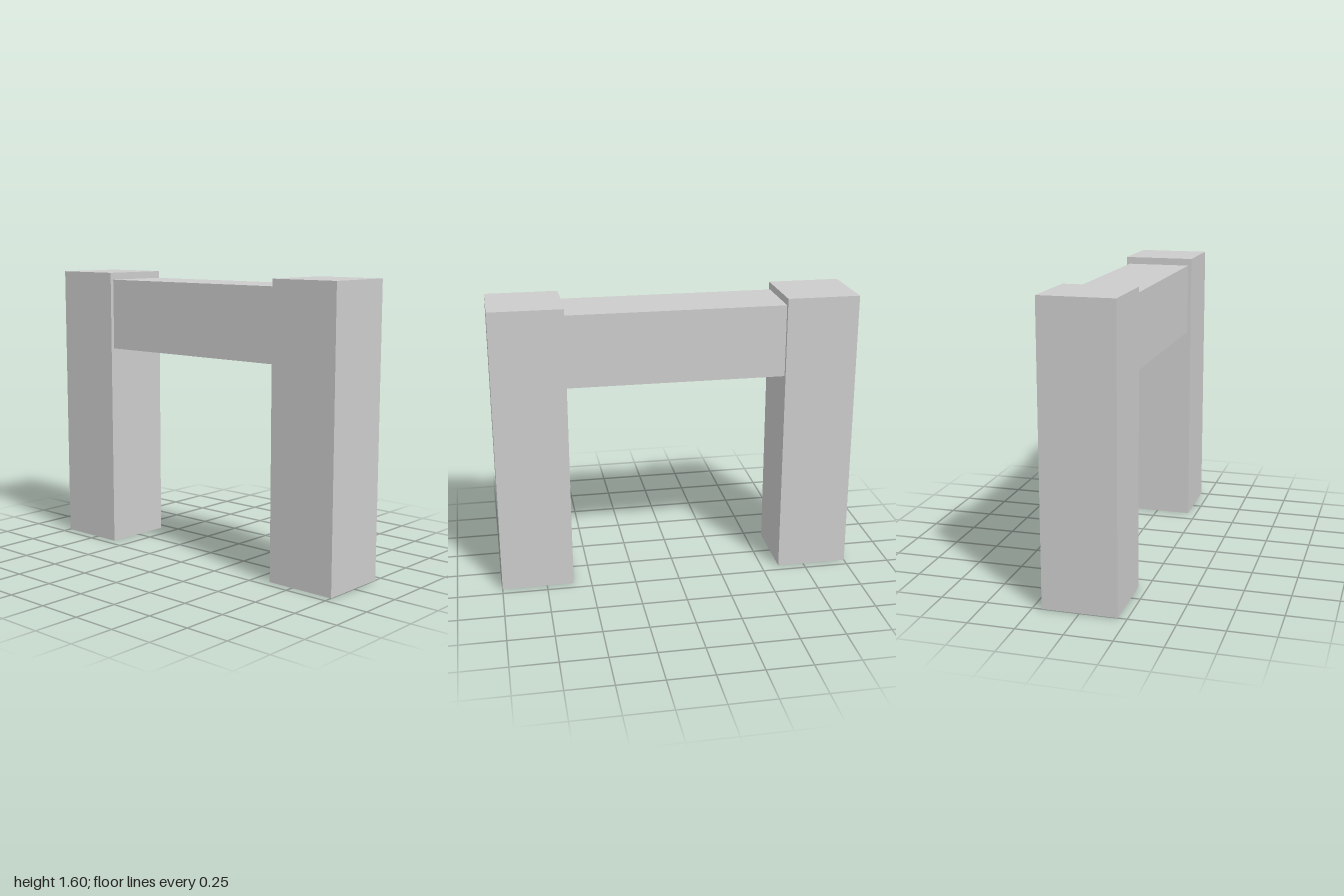
import * as THREE from 'three';

export function createModel() {
  const model = new THREE.Group();
  model.name = 'gateway';
  const material = new THREE.MeshStandardMaterial({ color: 0xcccccc, flatShading: true });

  const addBox = (name, [w, h, d], [x, y, z]) => {
    const mesh = new THREE.Mesh(new THREE.BoxGeometry(w, h, d), material);
    mesh.name = name;
    mesh.position.set(x, y, z);
    model.add(mesh);
  };

  // Two square posts, mirrored across x
  for (const [name, side] of [['leftPost', 1], ['rightPost', -1]]) {
    addBox(name, [0.4, 1.6, 0.4], [side * 0.8, 0.8, 0]);
  }

  // Slightly thinner beam set just below the post tops
  addBox('crossbeam', [1.2, 0.4, 0.36], [0, 1.36, 0]);

  return model;
}
